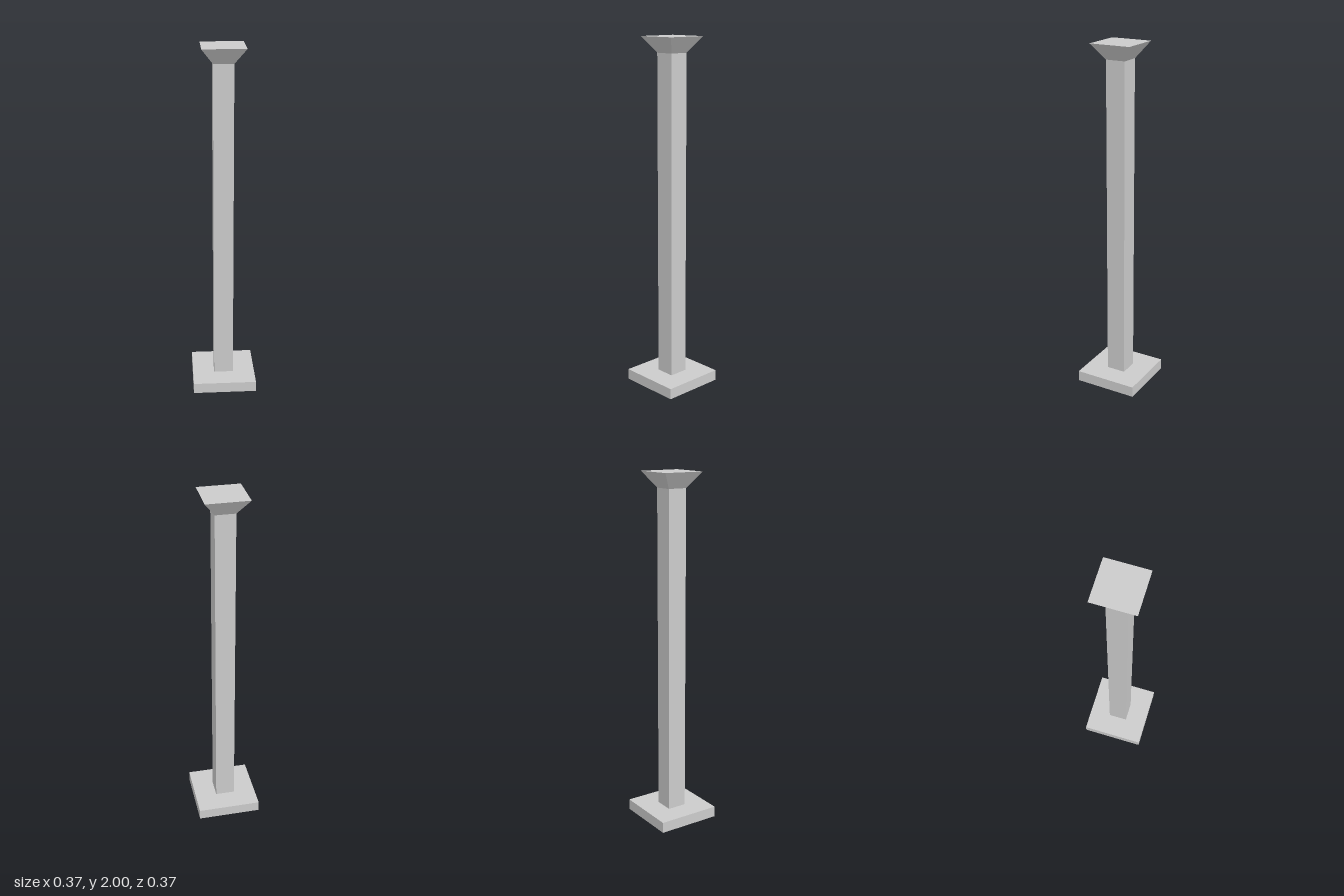
import * as THREE from 'three';

export function createModel() {
  const group = new THREE.Group();
  const material = new THREE.MeshStandardMaterial({ color: 0xcccccc, flatShading: true });

  // Square block from y0 to y1; the top may be wider than the bottom
  const addBlock = (name, y0, y1, bottomWidth, topWidth = bottomWidth) => {
    const geometry = new THREE.CylinderGeometry(
      topWidth * Math.SQRT1_2, bottomWidth * Math.SQRT1_2, y1 - y0, 4
    );
    geometry.rotateY(Math.PI / 4);
    const mesh = new THREE.Mesh(geometry, material);
    mesh.name = name;
    mesh.position.y = (y0 + y1) / 2;
    group.add(mesh);
  };

  addBlock('basePlate', 0, 0.062, 0.366);
  addBlock('shaft', 0.062, 1.912, 0.112);
  addBlock('flaredCapital', 1.912, 2, 0.112, 0.237);

  return group;
}
